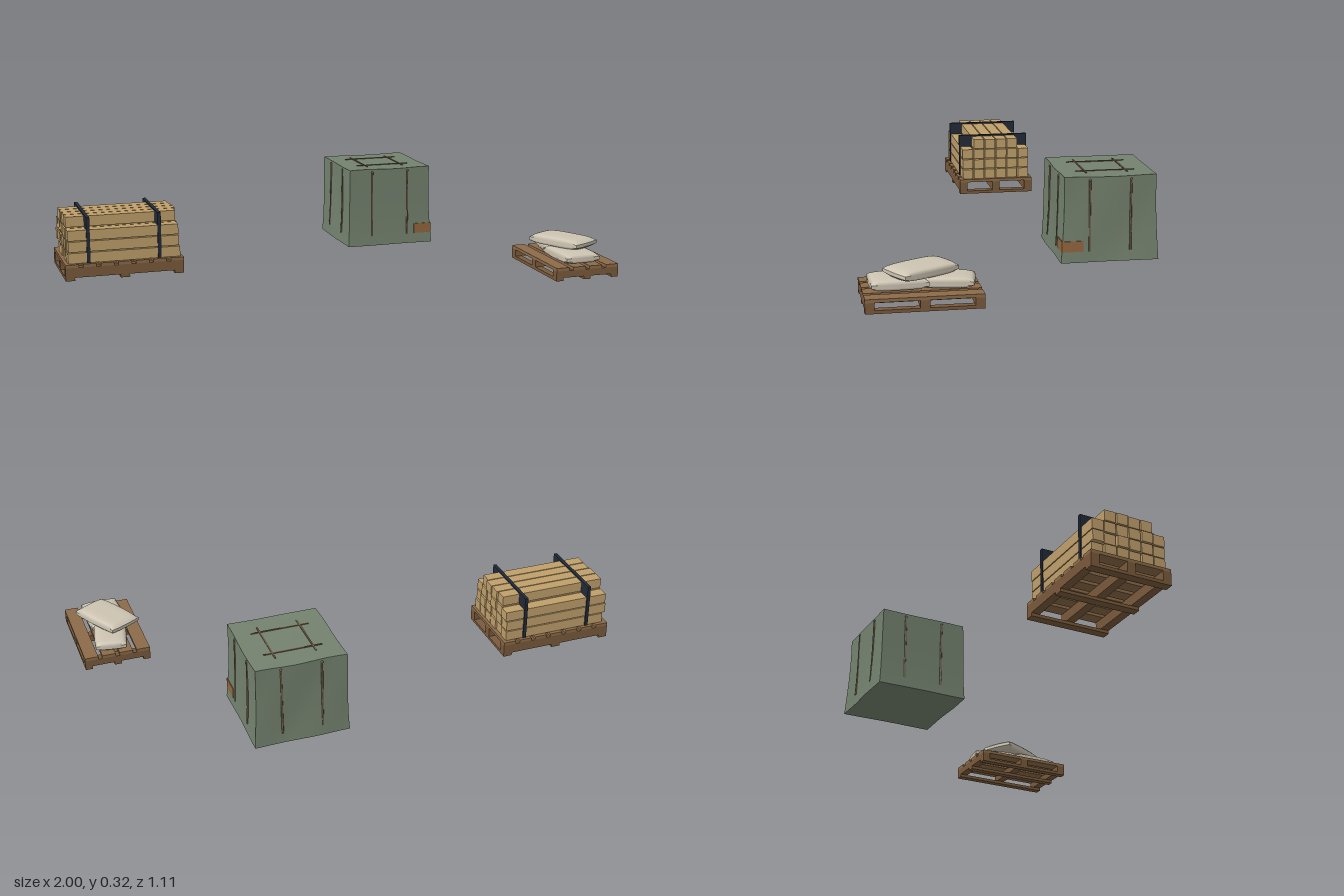
import * as THREE from 'three';
import { toCreasedNormals } from 'three/addons/utils/BufferGeometryUtils.js';

const mat = (color) => new THREE.MeshStandardMaterial({ color });
const M = {
  pallet: mat(0x7a5a3c), deck: mat(0x8c6b48), timber: mat(0xc0a06c), strap: mat(0x222a38),
  tarp: mat(0x74826f), rope: mat(0x6e5a42), sack: mat(0xcdc4b2), carton: mat(0x94683f),
};

// Small repeatable number source, -1..1
let seed = 7;
const rnd = () => ((seed = (seed * 16807) % 2147483647) / 2147483647) * 2 - 1;

function add(parent, name, geo, material, x = 0, y = 0, z = 0) {
  const m = new THREE.Mesh(geo, material);
  m.name = name;
  m.position.set(x, y, z);
  parent.add(m);
  return m;
}
const box = (parent, name, material, w, h, d, x, y, z) =>
  add(parent, name, new THREE.BoxGeometry(w, h, d), material, x, y, z);

// Box whose vertices are moved by a rule, smooth except at sharp edges
function shapedBox(segs, rule, crease) {
  const geo = new THREE.BoxGeometry(1, 1, 1, ...segs);
  const p = geo.attributes.position;
  const v = new THREE.Vector3();
  for (let i = 0; i < p.count; i++) {
    rule(v.fromBufferAttribute(p, i));
    p.setXYZ(i, v.x, v.y, v.z);
  }
  return toCreasedNormals(geo, crease);
}

// Bottom boards and deck boards run along z, stringers along x
function pallet(name, w, h, d, boards, boardW, footW) {
  const g = new THREE.Group();
  g.name = name;
  const t = 0.012;
  for (const i of [-1, 0, 1]) {
    box(g, 'bottomBoard', M.pallet, footW, t, d, i * (w - footW) / 2, t / 2, 0);
    box(g, 'stringer', M.pallet, w, h - 2 * t, 0.032, 0, h / 2, i * (d - 0.032) / 2);
  }
  for (let i = 0; i < boards; i++) {
    const x = (i / (boards - 1) - 0.5) * (w - boardW);
    box(g, 'deckBoard', M.deck, boardW, t, d, x, h - t / 2, 0);
  }
  return g;
}

function timberLoad() {
  const g = pallet('timberPallet', 0.45, 0.062, 0.31, 7, 0.05, 0.035);
  // Stacked beams, the top layer without its outer two
  for (let row = 0; row < 4; row++) {
    for (let col = 0; col < 6; col++) {
      if (row === 3 && (col === 0 || col === 5)) continue;
      const len = 0.425 + rnd() * 0.006;
      box(g, 'beam', M.timber, len, 0.0395, 0.0435,
        rnd() * 0.004, 0.0825 + row * 0.0433, (col - 2.5) * 0.0478);
    }
  }
  // Binding straps
  for (const x of [-0.135, 0.135]) box(g, 'strap', M.strap, 0.013, 0.175, 0.292, x, 0.1505, 0);
  g.position.set(-0.775, 0, -0.15);
  return g;
}

function coveredCrate() {
  const g = new THREE.Group();
  g.name = 'coveredCrate';
  const H = 0.315;
  const half = (y) => 0.171 + 0.009 * Math.pow(1 - y / H, 3);
  // Draped cover, flaring at the hem
  add(g, 'cover', shapedBox([10, 10, 10], (v) => {
    const y = (v.y + 0.5) * H;
    const wave = Math.sin(v.x * 9 + v.z * 7 + y * 14) * 0.0015;
    const s = 2 * (half(y) + wave);
    const top = v.y > 0.49 ? Math.sin(v.x * 8 + 1) * Math.cos(v.z * 7) * 0.0015 : 0;
    v.set(v.x * s, y + top, v.z * s);
  }, 0.7), M.tarp);
  // Ropes: two down each side, crossing on the top
  for (let side = 0; side < 4; side++) {
    const face = new THREE.Group();
    face.name = 'ropeSide';
    face.rotation.y = side * Math.PI / 2;
    for (const x of [-0.076, 0.076]) {
      const path = new THREE.CatmullRomCurve3(
        [0.04, 0.1, 0.2, 0.305].map((y) => new THREE.Vector3(x, y, half(y))));
      add(face, 'sideRope', new THREE.TubeGeometry(path, 8, 0.004, 6), M.rope);
      add(face, 'ropeKnot', new THREE.SphereGeometry(0.005, 8, 6), M.rope, x, 0.303, half(0.3));
    }
    box(face, 'topRope', M.rope, 0.22, 0.005, 0.006, 0, H, 0.076);
    g.add(face);
  }
  // Carton showing through at one corner
  box(g, 'carton', M.carton, 0.074, 0.04, 0.08, 0.142, 0.06, 0.139);
  g.position.set(0.36, 0, -0.376);
  return g;
}

// Stuffed sack: a pillow with thin rounded rims
function sack(w, h, d) {
  return shapedBox([16, 4, 20], (v) => {
    const u = v.x * 2, s = v.z * 2;
    const puff = Math.sqrt((1 - u ** 4) * (1 - s ** 4));
    v.set(v.x * w * (1 - 0.06 * s * s), v.y * h * (0.3 + 0.7 * puff), v.z * d * (1 - 0.04 * u * u));
  }, 0.9);
}

function sackLoad() {
  const g = pallet('sackPallet', 0.255, 0.05, 0.396, 4, 0.052, 0.028);
  const sacks = [
    [0.125, 0.042, 0.2, 0.002, 0.07, -0.085, -0.18],
    [0.148, 0.042, 0.2, -0.008, 0.07, 0.075, 0.03],
    [0.142, 0.042, 0.228, -0.006, 0.107, -0.003, 0.5],
  ];
  for (const [w, h, d, x, y, z, turn] of sacks) {
    add(g, 'sack', sack(w, h, d), M.sack, x, y, z).rotation.y = turn;
  }
  g.position.set(0.8725, 0, 0.359);
  return g;
}

export function createModel() {
  const model = new THREE.Group();
  model.name = 'cargo';
  model.add(timberLoad(), coveredCrate(), sackLoad());
  return model;
}
